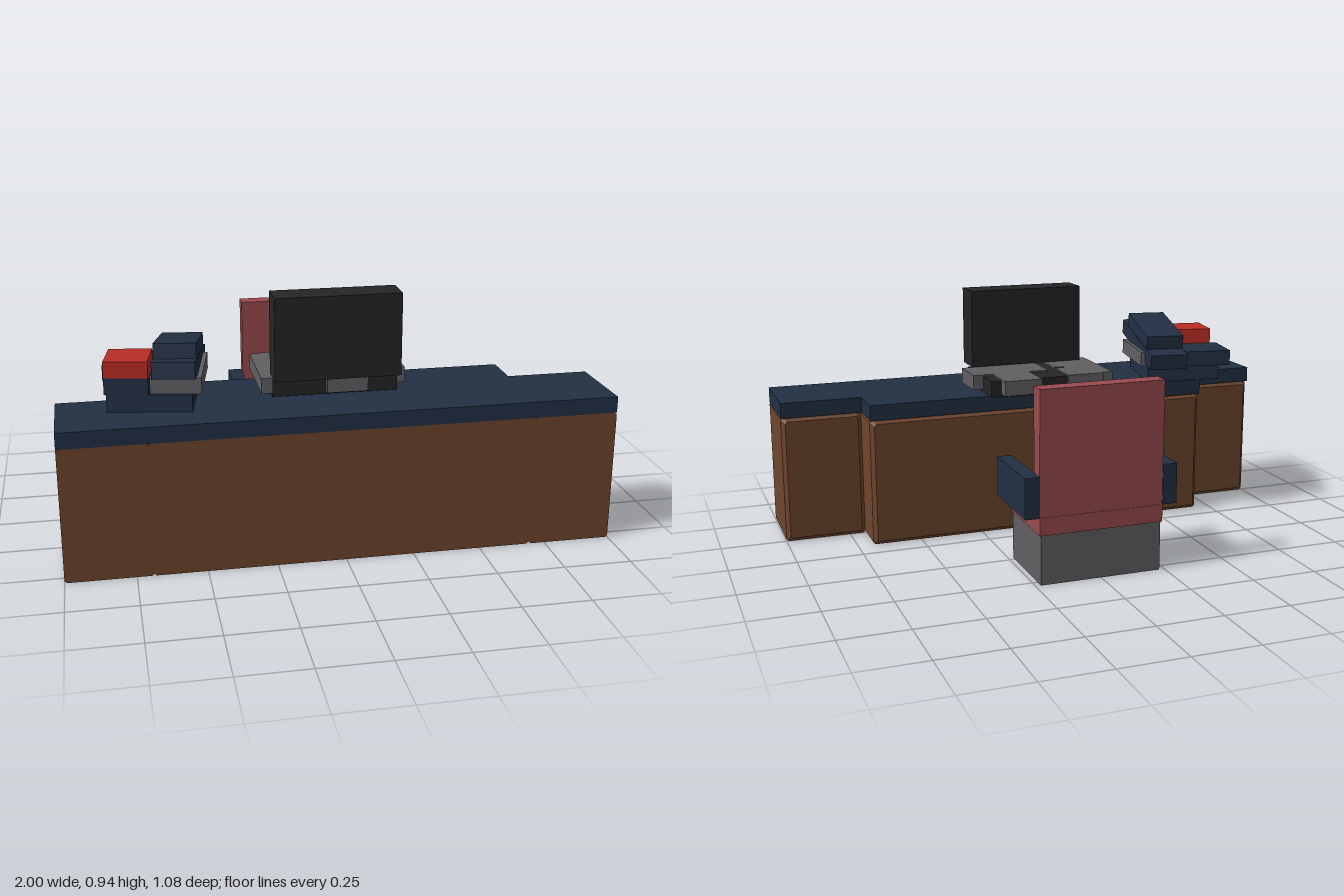
import * as THREE from 'three';
import { ConvexGeometry } from 'three/addons/geometries/ConvexGeometry.js';

const paint = (name, color) => {
  const m = new THREE.MeshStandardMaterial({ color });
  m.name = name;
  return m;
};

export function createModel() {
  const navy = paint('navy', 0x223044);
  const brown = paint('brown', 0x6e462e);
  const rose = paint('rose', 0x9a4a4e);
  const grey = paint('grey', 0x615f62);
  const black = paint('black', 0x252525);
  const red = paint('red', 0xb92d23);

  const model = new THREE.Group();
  model.name = 'officeDesk';
  const group = (name) => {
    const g = new THREE.Group();
    g.name = name;
    model.add(g);
    return g;
  };

  // Box given by its limits on each axis
  const block = (parent, name, mat, [x0, x1], [y0, y1], [z0, z1]) => {
    const mesh = new THREE.Mesh(new THREE.BoxGeometry(x1 - x0, y1 - y0, z1 - z0), mat);
    mesh.position.set((x0 + x1) / 2, (y0 + y1) / 2, (z0 + z1) / 2);
    mesh.name = name;
    parent.add(mesh);
  };

  // Cabinet with clipped corners and a chamfered rim on the back
  const cabinet = (parent, name, [x0, x1], [y0, y1], [z0, z1]) => {
    const c = 0.015, k = 0.008, pts = [];
    const ring = (inset, z) => {
      for (const sx of [0, 1]) for (const sy of [0, 1]) {
        const x = sx ? x1 - inset : x0 + inset, y = sy ? y1 - inset : y0 + inset;
        pts.push(new THREE.Vector3(x + (sx ? -k : k), y, z));
        pts.push(new THREE.Vector3(x, y + (sy ? -k : k), z));
      }
    };
    ring(0, z1);
    ring(0, z0 + c);
    ring(c, z0);
    const mesh = new THREE.Mesh(new ConvexGeometry(pts), brown);
    mesh.name = name;
    parent.add(mesh);
  };

  // Desk: deep middle and two shallower wings
  const desk = group('desk');
  const sections = [['middle', -0.69, 0.69, 0.08], ['rightWing', -1, -0.69, 0.235], ['leftWing', 0.69, 1, 0.235]];
  for (const [name, x0, x1, back] of sections) {
    cabinet(desk, name + 'Cabinet', [x0, x1], [0, 0.495], [back, 0.54]);
    block(desk, name + 'Top', navy, [x0, x1], [0.495, 0.555], [back - 0.003, 0.54]);
  }

  // Chair
  const chair = group('chair');
  block(chair, 'chairBase', grey, [-0.23, 0.23], [0, 0.185], [-0.535, -0.23]);
  block(chair, 'seat', rose, [-0.235, 0.235], [0.185, 0.25], [-0.54, -0.23]);
  block(chair, 'backrest', rose, [-0.235, 0.235], [0.25, 0.555], [-0.537, -0.478]);
  block(chair, 'headrest', rose, [-0.235, 0.235], [0.555, 0.71], [-0.54, -0.475]);
  for (const s of [-1, 1]) {
    const xs = [0.235 * s, 0.29 * s].sort((a, b) => a - b);
    block(chair, s > 0 ? 'leftArmrest' : 'rightArmrest', navy, xs, [0.25, 0.4], [-0.54, -0.23]);
  }

  // Monitor on its base
  const monitor = group('monitor');
  block(monitor, 'screenFront', black, [-0.23, 0.23], [0.635, 0.94], [0.325, 0.385]);
  block(monitor, 'screenBack', black, [-0.23, 0.23], [0.635, 0.94], [0.265, 0.325]);
  block(monitor, 'monitorBase', black, [-0.23, 0.23], [0.562, 0.626], [0.015, 0.325]);

  // Grey equipment set into the monitor base
  const gear = group('equipment');
  const gearY = [0.574, 0.632];
  block(gear, 'sideUnit', grey, [-0.27, -0.12], gearY, [0.01, 0.32]);
  block(gear, 'rearKeys', grey, [-0.23, -0.08], gearY, [0, 0.15]);
  block(gear, 'frontKeys', grey, [-0.12, -0.08], gearY, [0.165, 0.32]);
  block(gear, 'keyboard', grey, [-0.04, 0.27], gearY, [0.122, 0.28]);
  block(gear, 'rearUnit', grey, [0.04, 0.19], gearY, [-0.03, 0.122]);
  block(gear, 'frontUnit', grey, [-0.035, 0.115], gearY, [0.28, 0.355]);

  // Stack of books, all turned the same way, the top two leaning
  const books = group('books');
  const book = (name, mat, size, pos, pitch = 0) => {
    const mesh = new THREE.Mesh(new THREE.BoxGeometry(...size), mat);
    mesh.position.set(...pos);
    mesh.rotation.set(pitch, -0.17, 0, 'YXZ');
    mesh.name = name;
    books.add(mesh);
  };
  book('bottomBook', navy, [0.3, 0.065, 0.3], [-0.648, 0.587, 0.24]);
  book('greyBook', grey, [0.18, 0.058, 0.31], [-0.555, 0.65, 0.25]);
  book('sideBook', navy, [0.184, 0.06, 0.19], [-0.722, 0.65, 0.13]);
  book('smallBook', navy, [0.155, 0.06, 0.16], [-0.738, 0.65, 0.3]);
  book('redBook', red, [0.155, 0.06, 0.16], [-0.738, 0.71, 0.3]);
  book('longBook', navy, [0.15, 0.06, 0.475], [-0.553, 0.689, 0.235], -0.155);
  book('topBook', navy, [0.15, 0.06, 0.315], [-0.553, 0.742, 0.225], -0.155);

  return model;
}
